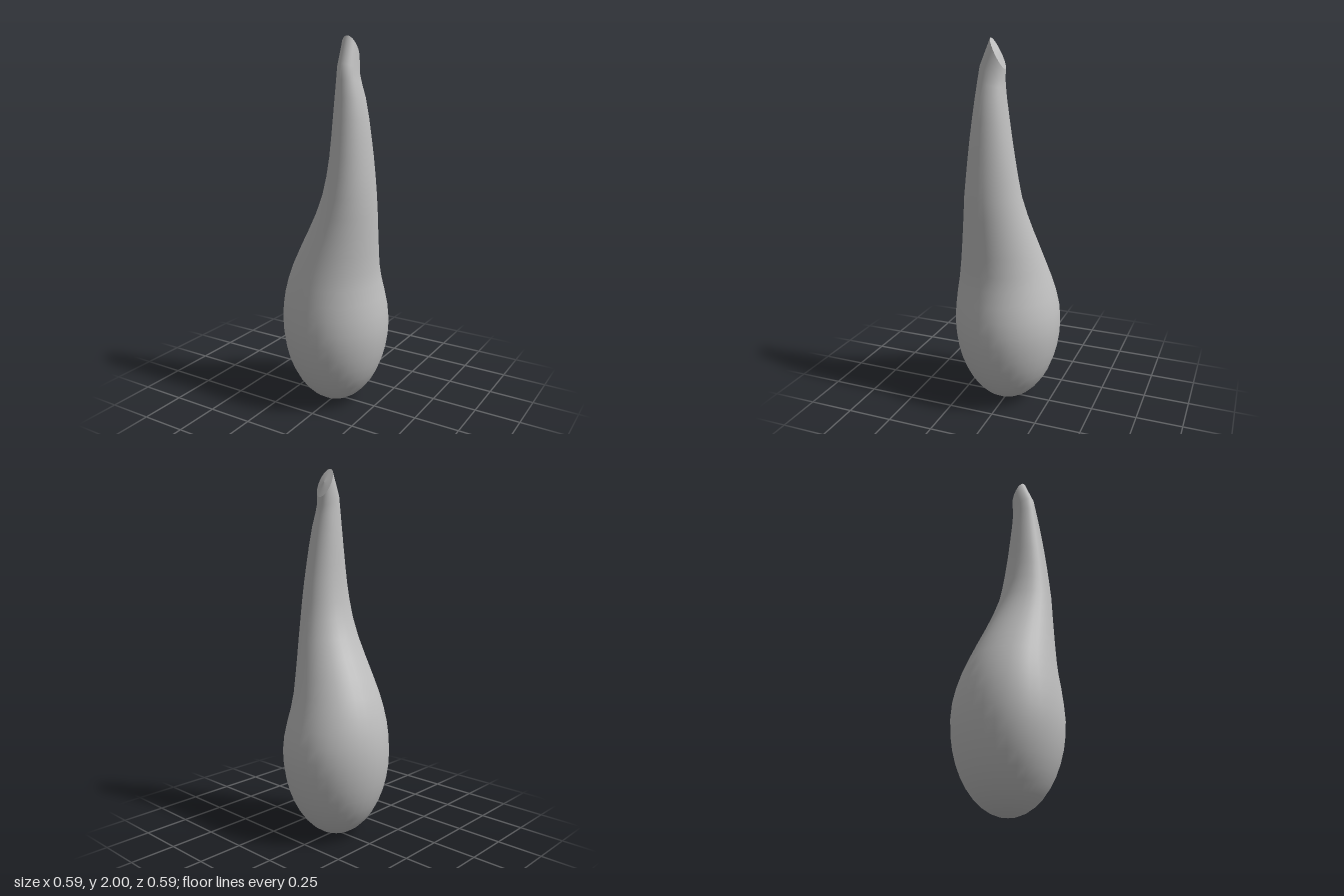
import * as THREE from 'three';

const SIDES = 32;

// Loft closed rings, listed from bottom to top. Each ring: x range, z range, y at its back and front.
function loft(rings) {
  const pos = [], index = [];
  rings.forEach(([yBack, yFront, x0, x1, z0, z1], i) => {
    for (let j = 0; j < SIDES; j++) {
      const a = (j / SIDES) * Math.PI * 2, s = Math.sin(a), c = Math.cos(a);
      pos.push(
        (x0 + x1) / 2 + ((x1 - x0) / 2) * s,
        (yBack + yFront) / 2 + ((yFront - yBack) / 2) * c,
        (z0 + z1) / 2 + ((z1 - z0) / 2) * c);
      if (i === rings.length - 1) continue;
      const p = i * SIDES + j, q = i * SIDES + ((j + 1) % SIDES);
      index.push(p, q, q + SIDES, p, q + SIDES, p + SIDES);
    }
  });
  const g = new THREE.BufferGeometry();
  g.setAttribute('position', new THREE.Float32BufferAttribute(pos, 3));
  g.setIndex(index);
  g.computeVertexNormals();
  return g;
}

export function createModel() {
  const group = new THREE.Group();
  const grey = new THREE.MeshStandardMaterial({ color: 0xbfbfbf });
  grey.name = 'plain grey';

  // Rounded bottom of the bulb
  const rings = [];
  for (let i = 0; i <= 10; i++) {
    const t = (i / 10) * Math.PI / 2, r = 0.295 * Math.sin(t), y = 0.48 * (1 - Math.cos(t));
    rings.push([y, y, -r, r, -r, r]);
  }

  // Shoulder and leaning neck: y, left and right x, back and front z
  [
    [0.56, -0.291, 0.288, -0.287, 0.290],
    [0.64, -0.277, 0.274, -0.268, 0.281],
    [0.72, -0.254, 0.258, -0.243, 0.268],
    [0.80, -0.222, 0.250, -0.217, 0.255],
    [0.90, -0.173, 0.250, -0.188, 0.238],
    [1.00, -0.120, 0.250, -0.160, 0.222],
    [1.10, -0.070, 0.250, -0.134, 0.207],
    [1.20, -0.030, 0.248, -0.111, 0.195],
    [1.30, -0.006, 0.241, -0.095, 0.182],
    [1.40, 0.010, 0.232, -0.080, 0.170],
    [1.50, 0.020, 0.221, -0.064, 0.158],
    [1.60, 0.028, 0.208, -0.049, 0.145],
    [1.70, 0.036, 0.190, -0.034, 0.132],
  ].forEach(([y, ...r]) => rings.push([y, y, ...r]));

  // Slanted end: the front rises above the back
  const tip = [1.85, 2.0, 0.049, 0.143, -0.022, 0.055];
  rings.push([1.76, 1.79, 0.043, 0.168, -0.026, 0.121]);
  rings.push([1.80, 1.865, 0.046, 0.155, -0.022, 0.110]);
  rings.push(tip);

  const body = new THREE.Mesh(loft(rings), grey);
  body.name = 'body';
  group.add(body);

  // Face closing the slanted tip
  const cap = new THREE.Mesh(loft([tip, [1.93, 1.93, 0.096, 0.096, 0.01, 0.01]]), grey);
  cap.name = 'tipFace';
  group.add(cap);
  return group;
}
